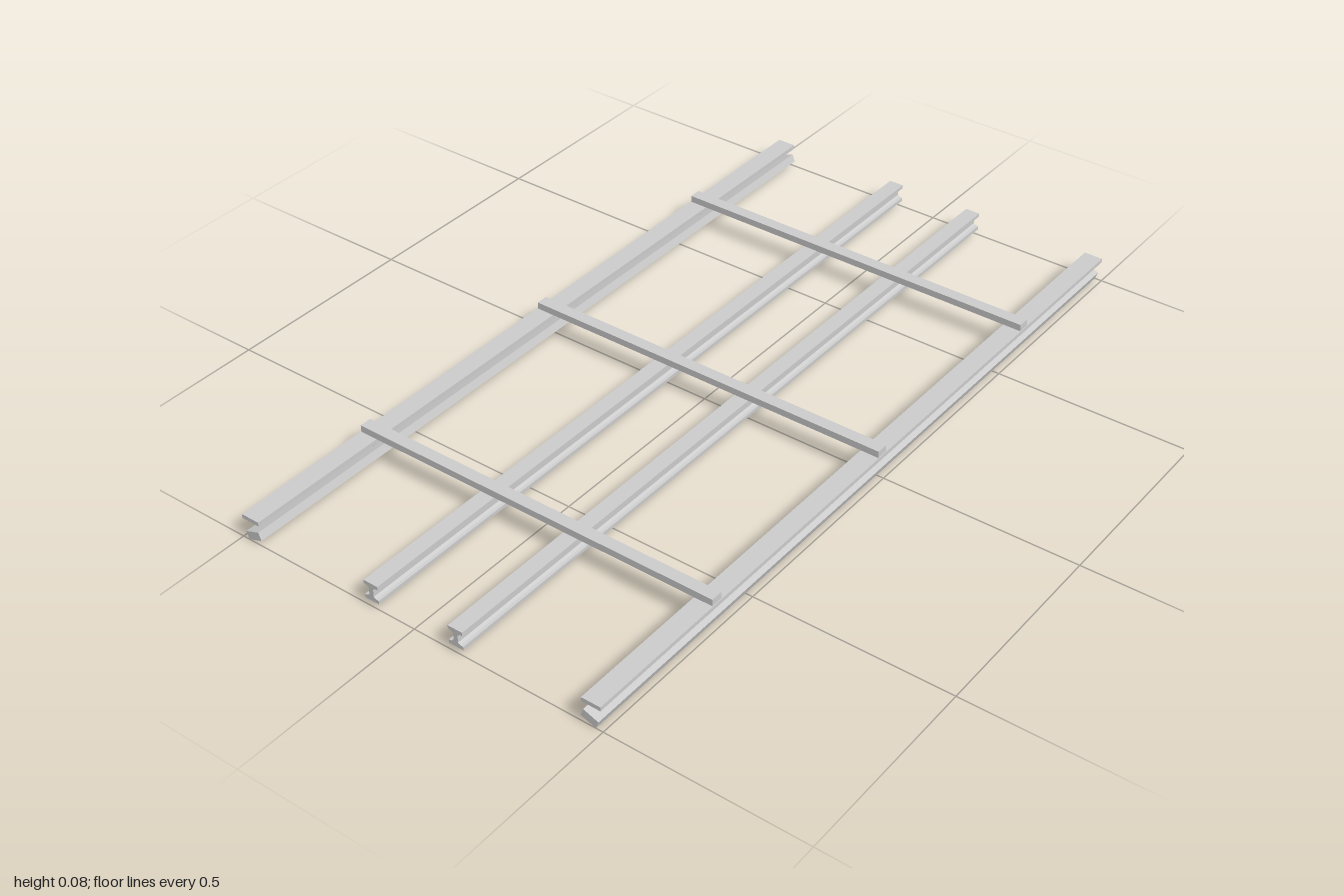
import * as THREE from 'three';

export function createModel() {
  const model = new THREE.Group();
  const material = new THREE.MeshStandardMaterial({ color: 0xcccccc, flatShading: true });

  function add(parent, name, geometry, x, y, z) {
    const mesh = new THREE.Mesh(geometry, material);
    mesh.name = name;
    mesh.position.set(x, y, z);
    parent.add(mesh);
    return mesh;
  }

  const length = 2;
  const crossZ = [-0.617, 0, 0.617];

  // Inner I-beams with tapered flanges: one quarter outline, mirrored up and across
  const quarter = [[0.0195, 0.0238], [0.0195, 0.0148], [0.0125, 0.0138], [0.006, 0.0098]];
  const right = [...quarter, ...quarter.map(([x, y]) => [x, -y]).reverse()];
  const outline = [...right, ...right.map(([x, y]) => [-x, y]).reverse()];
  const profile = new THREE.Shape(outline.map(([x, y]) => new THREE.Vector2(x, y)));
  const beamGeometry = new THREE.ExtrudeGeometry(profile, { depth: length, bevelEnabled: false });
  beamGeometry.translate(0, 0, -length / 2);

  for (const side of [-1, 1]) {
    const label = side > 0 ? 'left' : 'right';
    add(model, label + 'InnerBeam', beamGeometry, side * 0.117, 0.0397, 0);

    // Outer rail: flat top plate, tilted lower bar, posts between them
    const rail = new THREE.Group();
    rail.name = label + 'OuterRail';
    model.add(rail);
    add(rail, 'topPlate', new THREE.BoxGeometry(0.049, 0.0105, length), side * 0.4705, 0.0583, 0);
    const bar = add(rail, 'tiltedBar', new THREE.BoxGeometry(0.041, 0.021, length), side * 0.466, 0.0169, 0);
    bar.rotation.z = -side * THREE.MathUtils.degToRad(20);
    for (const z of crossZ) {
      add(rail, 'post', new THREE.CylinderGeometry(0.005, 0.005, 0.033, 12), side * 0.472, 0.0375, z);
    }
  }

  // Cross bars resting on the beams
  for (const z of crossZ) {
    add(model, 'crossBar', new THREE.BoxGeometry(0.986, 0.0175, 0.031), 0, 0.0723, z);
  }

  return model;
}
